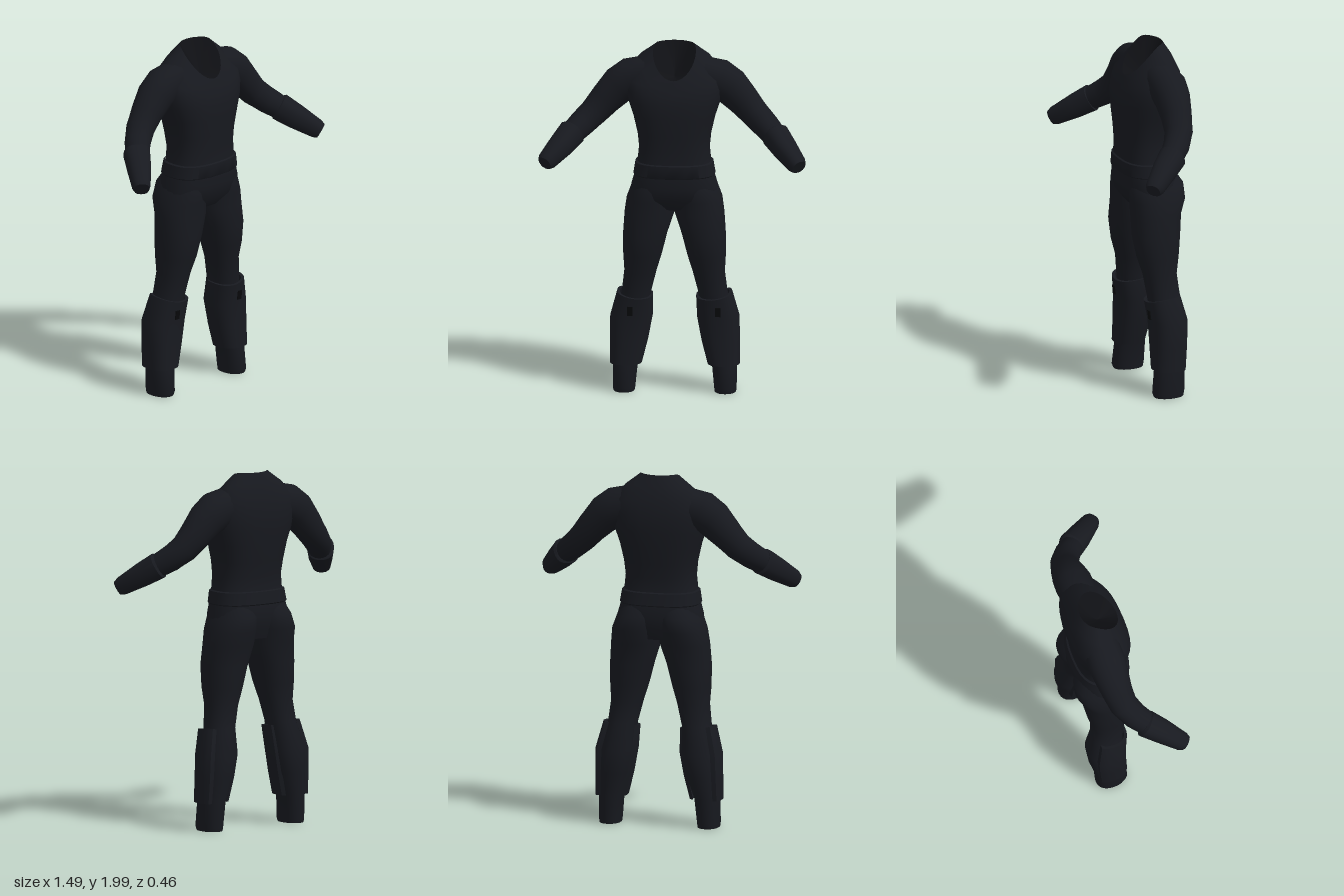
import * as THREE from 'three';
import { toCreasedNormals } from 'three/addons/utils/BufferGeometryUtils.js';

const V = (x, y, z) => new THREE.Vector3(x, y, z);
const cloth = new THREE.MeshStandardMaterial({ color: 0x17191f });
const armour = new THREE.MeshStandardMaterial({ color: 0x181a20 });
const black = new THREE.MeshStandardMaterial({ color: 0x08090b });
const lining = new THREE.MeshStandardMaterial({ color: 0x0f1014, side: THREE.DoubleSide });

const soft = (v, p) => Math.sign(v) * Math.abs(v) ** (2 / p);

// Superellipse cross-section around c, perpendicular to dir
function ring(c, ra, rb, dir = V(0, 1, 0), p = 2, n = 24, from = 0, to = Math.PI * 2) {
  const s = Math.abs(dir.y) > 0.99 ? V(1, 0, 0) : V(0, 1, 0).cross(dir).normalize();
  const t = s.clone().cross(dir);
  const closed = to - from > 6.28;
  return Array.from({ length: closed ? n : n + 1 }, (_, j) => {
    const a = from + (to - from) * j / n;
    return c.clone().addScaledVector(s, ra * soft(Math.cos(a), p)).addScaledVector(t, rb * soft(Math.sin(a), p));
  });
}

// Skin over rows of points, with optional flat ends
function loft(rows, { closed = true, bottom = true, top = true, mirror = false } = {}) {
  const n = rows[0].length, pts = rows.flat(), idx = [];
  const cols = closed ? n : n - 1;
  for (let i = 0; i < rows.length - 1; i++) for (let j = 0; j < cols; j++) {
    const a = i * n + j, b = i * n + (j + 1) % n;
    idx.push(a, a + n, b, b, a + n, b + n);
  }
  const cap = (r, up) => {
    const c = pts.length, mid = V(0, 0, 0);
    rows[r].forEach(q => mid.addScaledVector(q, 1 / n));
    pts.push(mid);
    for (let j = 0; j < n; j++) {
      const a = r * n + j, b = r * n + (j + 1) % n;
      idx.push(c, up ? b : a, up ? a : b);
    }
  };
  if (bottom) cap(0, false);
  if (top) cap(rows.length - 1, true);
  const g = new THREE.BufferGeometry().setFromPoints(pts);
  if (mirror) { g.scale(-1, 1, 1); idx.reverse(); }
  g.setIndex(idx);
  return toCreasedNormals(g, 0.8);
}

// Horizontal body ring: the front sinks by dip to shape the neckline
function bodyRing([y, w, zf, zb, dip = 0, p = 2.6]) {
  const rz = (zf - zb) / 2, mid = (zf + zb) / 2;
  const pts = ring(V(0, y, mid), w, rz, undefined, p, 32);
  pts.forEach(q => {
    const s = Math.max(0, ((q.z - mid) / rz + 0.5) / 1.5);
    q.y -= dip * s ** 1.4;
  });
  return pts;
}

// Limb along a path of [x, y, z, radius across, radius vertical]
function limbRows(path, p = 2.1) {
  return path.map(([x, y, z, ra, rb = ra], i) => {
    const a = path[Math.max(0, i - 1)], b = path[Math.min(path.length - 1, i + 1)];
    return ring(V(x, y, z), ra, rb, V(b[0] - a[0], b[1] - a[1], b[2] - a[2]).normalize(), p, 20);
  });
}

export function createModel() {
  const model = new THREE.Group();
  const add = (parent, name, geo, mat = cloth) => {
    const m = new THREE.Mesh(geo, mat);
    m.name = name;
    parent.add(m);
    return m;
  };

  // Torso from hips to neckline: y, half width, front z, back z, dip, squareness
  const body = [
    [1.07, 0.17, 0.04, -0.18], [1.13, 0.245, 0.085, -0.2], [1.2, 0.24, 0.1, -0.215],
    [1.27, 0.22, 0.1, -0.205], [1.34, 0.205, 0.095, -0.19], [1.42, 0.197, 0.095, -0.19],
    [1.5, 0.205, 0.1, -0.205], [1.6, 0.228, 0.108, -0.217], [1.68, 0.255, 0.108, -0.228],
    [1.77, 0.27, 0.098, -0.232, 0.03], [1.86, 0.265, 0.08, -0.218, 0.08],
    [1.94, 0.2, 0.07, -0.19, 0.13, 2.2], [2.0, 0.12, 0.065, -0.155, 0.18, 2],
  ].map(bodyRing);
  add(model, 'torso', loft(body, { top: false }));

  // Sunken lining inside the neckline
  const neck = body[body.length - 1];
  add(model, 'neckLining', loft([neck, neck.map(() => V(0, 1.82, -0.05))], { bottom: false, top: false }), lining);

  // Waistband
  add(model, 'waistband', loft([
    [1.262, 0.222, 0.102, -0.208], [1.268, 0.228, 0.107, -0.213],
    [1.335, 0.217, 0.104, -0.202], [1.34, 0.205, 0.095, -0.192],
  ].map(bodyRing), { bottom: false, top: false }));

  // Leg sections: y, x, z, half width, half depth
  const leg = [
    [0.006, 0.282, -0.08, 0.06, 0.085], [0.03, 0.282, -0.078, 0.063, 0.092], [0.17, 0.275, -0.088, 0.07, 0.087],
    [0.3, 0.25, -0.1, 0.088, 0.098], [0.43, 0.234, -0.105, 0.097, 0.102], [0.58, 0.212, -0.078, 0.082, 0.092],
    [0.7, 0.19, -0.065, 0.09, 0.095], [0.8, 0.178, -0.058, 0.108, 0.118], [0.92, 0.163, -0.055, 0.123, 0.135],
    [1.04, 0.139, -0.063, 0.139, 0.14], [1.12, 0.134, -0.075, 0.133, 0.157], [1.2, 0.115, -0.072, 0.122, 0.158],
    [1.27, 0.1, -0.065, 0.1, 0.12],
  ].map(([y, x, z, w, d]) => ring(V(x, y, z), w, d, undefined, 2.2));

  // Shin guard shell: rows run up the outside and back down the inside
  const shell = [
    [0.165, 0.272, -0.088, 0.09, 0.099], [0.3, 0.255, -0.094, 0.107, 0.104],
    [0.43, 0.242, -0.095, 0.118, 0.107], [0.56, 0.22, -0.07, 0.1, 0.1],
  ];
  const arc = ([y, x, z, w, d], shrink) => {
    const make = k => ring(V(x, y, z), w - k, d - k, undefined, 2.5, 20, -0.9, Math.PI + 0.55);
    const pts = make(shrink), inner = make(0.016);
    pts[0] = inner[0];
    pts[20] = inner[20];
    // top rim rises toward the outer back
    if (y > 0.5) pts.forEach(q => { q.y += 0.2 * Math.max(0, q.x - x) - 0.1 * (q.z - z); });
    return pts;
  };
  const guard = [arc(shell[0], 0.016), ...shell.map(s => arc(s, 0)), ...shell.slice().reverse().map(s => arc(s, 0.016))];

  // Sleeve and forearm cuff
  const sleeve = limbRows([
    [0.13, 1.83, -0.085, 0.1], [0.25, 1.795, -0.09, 0.108, 0.112], [0.31, 1.755, -0.09, 0.1, 0.105],
    [0.385, 1.675, -0.083, 0.086, 0.09], [0.45, 1.602, -0.068, 0.079], [0.515, 1.545, -0.025, 0.073], [0.61, 1.465, 0.07, 0.06],
  ]);
  const cuff = limbRows([
    [0.56, 1.51, 0.012, 0.064], [0.565, 1.506, 0.018, 0.075], [0.62, 1.453, 0.09, 0.068],
    [0.695, 1.384, 0.182, 0.052], [0.708, 1.372, 0.198, 0.042],
  ], 2.4);

  for (const side of [1, -1]) {
    const mirror = side < 0, label = mirror ? 'right' : 'left';
    const limbs = new THREE.Group();
    limbs.name = label + 'Limbs';
    model.add(limbs);
    add(limbs, label + 'Leg', loft(leg, { mirror }));
    add(limbs, label + 'ShinGuard', loft(guard, { closed: false, bottom: false, top: false, mirror }), armour);
    add(limbs, label + 'Sleeve', loft(sleeve, { mirror }));
    add(limbs, label + 'Cuff', loft(cuff, { mirror }), armour);
    // Small slot on the guard
    const slot = add(limbs, label + 'GuardSlot', new THREE.BoxGeometry(0.03, 0.052, 0.012), black);
    slot.position.set(side * 0.245, 0.48, 0.018);
    slot.rotation.x = 0.12;
  }
  return model;
}
